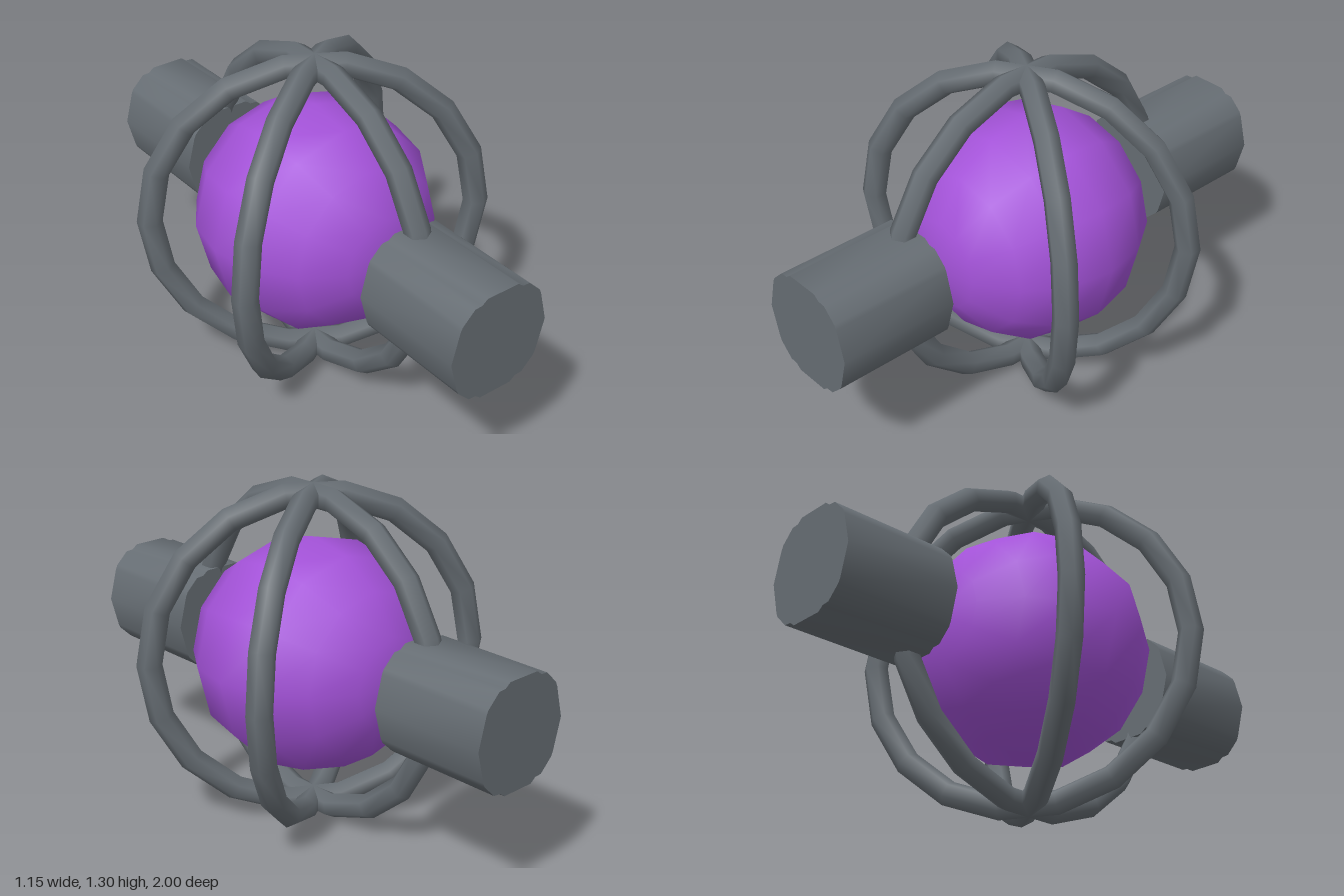
import * as THREE from 'three';
import { toCreasedNormals } from 'three/addons/utils/BufferGeometryUtils.js';

export function createModel() {
  const model = new THREE.Group();
  const steel = new THREE.MeshStandardMaterial({ color: 0x666d73 });
  steel.name = 'dark grey metal';
  const purple = new THREE.MeshStandardMaterial({ color: 0xa352d8 });
  purple.name = 'purple';
  const centreY = 0.655;

  const add = (name, geometry, material) => {
    const mesh = new THREE.Mesh(geometry, material);
    mesh.name = name;
    mesh.position.y = centreY;
    model.add(mesh);
    return mesh;
  };

  // Core sphere, poles along z
  add('core', new THREE.SphereGeometry(0.45, 12, 8).rotateX(Math.PI / 2), purple);

  // Three upright cage rings, crossing at top and bottom
  const ring = new THREE.TorusGeometry(0.614, 0.048, 6, 18);
  [30, 90, 150].forEach((degrees, i) => {
    add('cageRing' + (i + 1), ring, steel).rotation.y = THREE.MathUtils.degToRad(degrees);
  });

  // End posts: slightly notched round section, mirrored from one quarter
  const quarter = [[0.21, 0], [0.178, 0.12], [0.17, 0.137], [0.12, 0.185], [0.09, 0.187], [0.068, 0.204]];
  const half = [...quarter, ...quarter.slice().reverse().map(([x, y]) => [-x, y])];
  const outline = [...half, ...half.slice(1, -1).reverse().map(([x, y]) => [x, -y])];
  const section = new THREE.Shape(outline.map(([x, y]) => new THREE.Vector2(x, y)));
  const post = toCreasedNormals(
    new THREE.ExtrudeGeometry(section, { depth: 0.465, bevelEnabled: false }), 0.9);
  add('frontPost', post, steel).position.z = 0.535;
  add('backPost', post, steel).position.z = -1;

  return model;
}
